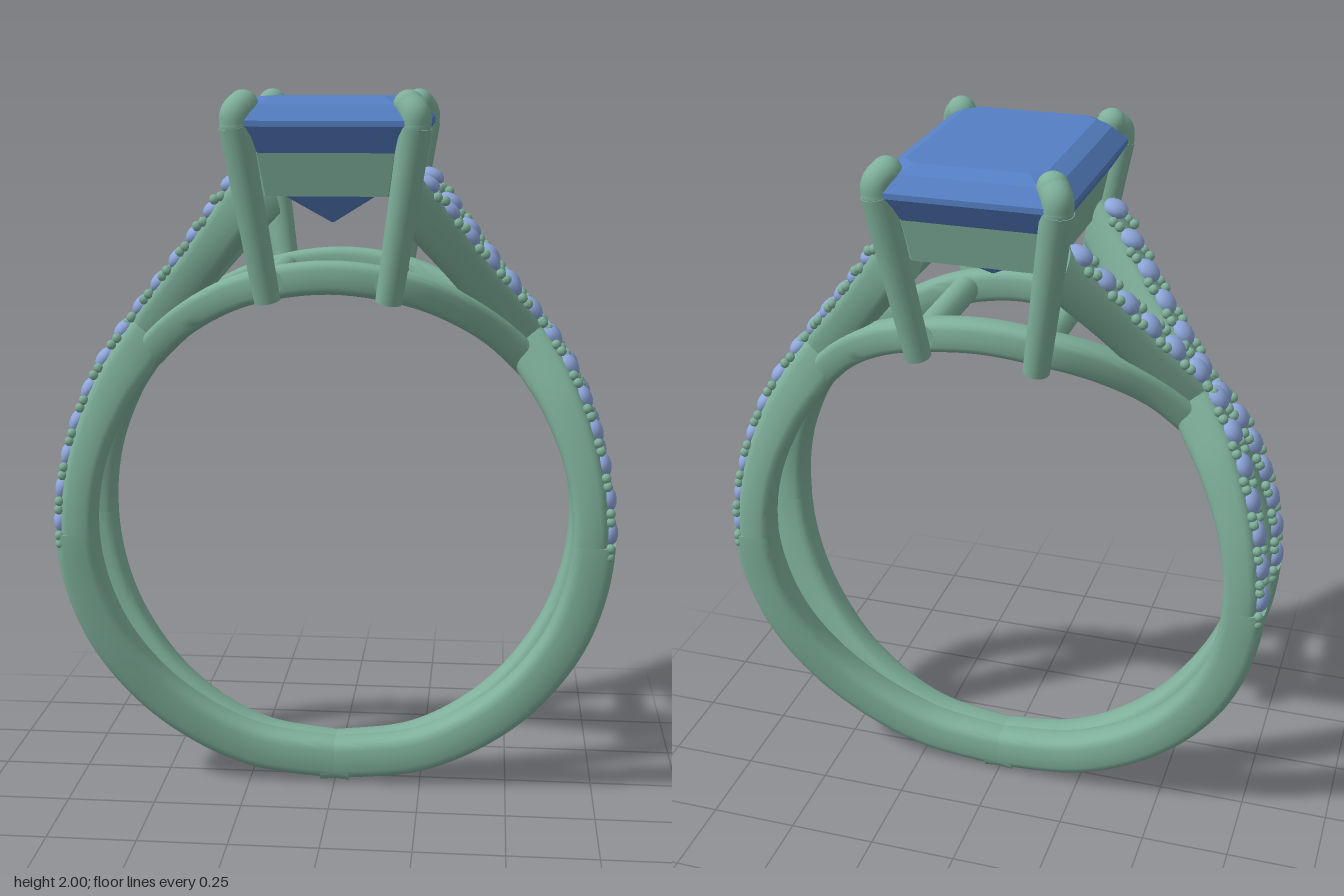
import * as THREE from 'three';
import { toCreasedNormals } from 'three/addons/utils/BufferGeometryUtils.js';

const CY = 0.795, RI = 0.67, RO = 0.79;
const metal = new THREE.MeshStandardMaterial({ color: 0x7fb09b });
const gemMat = new THREE.MeshStandardMaterial({ color: 0x5580c4, flatShading: true });
const paveMat = new THREE.MeshStandardMaterial({ color: 0x8fa8dc });
const V = (x, y, z) => new THREE.Vector3(x, y, z);

function add(parent, name, geo, mat = metal) {
  const m = new THREE.Mesh(geo, mat);
  m.name = name;
  parent.add(m);
  return m;
}

// Skin a series of closed rings; either capped or joined end to start
function loft(rings, joined = false) {
  const n = rings[0].length, pos = [], idx = [];
  rings.forEach(r => r.forEach(p => pos.push(p.x, p.y, p.z)));
  const count = joined ? rings.length : rings.length - 1;
  for (let i = 0; i < count; i++) {
    const i2 = (i + 1) % rings.length;
    for (let j = 0; j < n; j++) {
      const k = (j + 1) % n;
      const a = i * n + j, b = i * n + k, c = i2 * n + k, d = i2 * n + j;
      idx.push(a, b, c, a, c, d);
    }
  }
  if (!joined) {
    const last = (rings.length - 1) * n;
    for (let j = 1; j < n - 1; j++) {
      idx.push(0, j + 1, j, last, last + j, last + j + 1);
    }
  }
  const g = new THREE.BufferGeometry();
  g.setAttribute('position', new THREE.Float32BufferAttribute(pos, 3));
  g.setIndex(idx);
  g.computeVertexNormals();
  return g;
}

// Frame on a band between its outer and inner guide curves
function frameAt(band, t) {
  const o = band.outer.getPoint(t), i = band.inner.getPoint(t);
  const n = o.clone().sub(i).normalize();
  const b = n.clone().cross(band.outer.getTangent(t)).normalize();
  return { o, i, n, b };
}

// Sweep a softly squared section along a band
function sweep(band, t0, t1, halfWidth, recess = 0, steps = 40) {
  const rings = [], soft = v => Math.sign(v) * Math.pow(Math.abs(v), 0.55);
  for (let s = 0; s <= steps; s++) {
    const f = frameAt(band, t0 + (t1 - t0) * s / steps);
    const top = f.o.clone().addScaledVector(f.n, -recess);
    const mid = top.clone().add(f.i).multiplyScalar(0.5), h = top.distanceTo(f.i) / 2;
    rings.push(Array.from({ length: 20 }, (_, k) => {
      const a = k / 20 * Math.PI * 2;
      return mid.clone().addScaledVector(f.b, halfWidth * soft(Math.cos(a)))
        .addScaledVector(f.n, h * soft(Math.sin(a)));
    }));
  }
  return toCreasedNormals(loft(rings), 0.7);
}

// Stations: [outer x, outer y, inner x, inner y, z]
const makeBand = (stations, s) => ({
  outer: new THREE.CatmullRomCurve3(stations.map(p => V(p[0], p[1], s * p[4]))),
  inner: new THREE.CatmullRomCurve3(stations.map(p => V(p[2], p[3], s * p[4]))),
});
const arc = (deg, z, ro = RO) => {
  const a = deg * Math.PI / 180, x = Math.sin(a), y = -Math.cos(a);
  return [ro * x, CY + ro * y, RI * x, CY + RI * y, z];
};

// Rectangle with cut corners at height y
const octagon = ([y, hx, hz, c]) => [
  [c - hx, hz], [hx - c, hz], [hx, hz - c], [hx, c - hz],
  [hx - c, -hz], [c - hx, -hz], [-hx, c - hz], [-hx, hz - c],
].map(([x, z]) => V(x, y, z));

export function createModel() {
  const ring = new THREE.Group();
  ring.name = 'ring';

  // Crossing shank strands with their rows of small stones
  const strand = [
    arc(-3, 0.02), arc(20, 0.032), arc(41, 0.06), arc(60, 0.095), arc(75, 0.115), arc(90, 0.127),
    [0.765, 1.0, 0.647, 0.968, 0.113],
    [0.70, 1.2, 0.58, 1.13, 0.073],
    [0.635, 1.32, 0.52, 1.22, 0.03],
    [0.56, 1.42, 0.455, 1.325, -0.018],
    [0.42, 1.585, 0.325, 1.49, -0.1],
    [0.24, 1.805, 0.19, 1.645, -0.205],
  ];
  const stoneGeo = new THREE.SphereGeometry(0.038, 14, 8).scale(1, 0.65, 1);
  const beadGeo = new THREE.SphereGeometry(0.014, 8, 6);
  const up = V(0, 1, 0), STONES = 13, SPLIT = 0.443;
  for (const turn of [0, Math.PI]) {
    const side = new THREE.Group();
    side.name = turn ? 'rightShoulder' : 'leftShoulder';
    side.rotation.y = turn;
    ring.add(side);
    for (const s of [1, -1]) {
      const band = makeBand(strand, s);
      add(side, 'lowerShank', sweep(band, 0, SPLIT, 0.05));
      add(side, 'stoneSetStrand', sweep(band, SPLIT, 1, 0.05, 0.02));
      // Begin the stones at mid height
      let u0 = 0.4;
      while (band.outer.getPointAt(u0).y < 0.8) u0 += 0.002;
      const du = (0.985 - u0) / (STONES - 1);
      for (let k = 0; k < STONES; k++) {
        const f = frameAt(band, band.outer.getUtoTmapping(u0 + du * k));
        const stone = add(side, 'smallStone', stoneGeo, paveMat);
        stone.position.copy(f.o).addScaledVector(f.n, -0.02);
        stone.quaternion.setFromUnitVectors(up, f.n);
        const g = frameAt(band, band.outer.getUtoTmapping(u0 + du * (k - 0.5)));
        for (const e of [-0.036, 0.036]) {
          for (const shift of [-0.012, 0.012]) {
            const bead = add(side, 'bead', beadGeo);
            bead.position.copy(g.o).addScaledVector(g.n, -0.017).addScaledVector(g.b, e)
              .addScaledVector(g.n.clone().cross(g.b), shift);
          }
        }
      }
    }
  }

  // Arched bridge under the setting, splaying out to the prong feet
  const R2 = 0.76;
  const bridge = [
    arc(130, 0.01, R2), arc(142, 0.06, R2), arc(155, 0.13, R2), arc(166, 0.18, R2), arc(180, 0.195, R2),
    arc(194, 0.18, R2), arc(205, 0.13, R2), arc(218, 0.06, R2), arc(230, 0.01, R2),
  ];
  for (const s of [1, -1]) {
    add(ring, 'bridge', sweep(makeBand(bridge, s), 0, 1, 0.04));
    const bar = add(ring, 'crossBar', new THREE.CylinderGeometry(0.038, 0.038, 0.46, 14));
    bar.rotation.x = Math.PI / 2;
    bar.position.set(s * 0.16, 1.495, 0);
  }

  // Four claw prongs
  for (const sx of [1, -1]) for (const sz of [1, -1]) {
    const p = (x, y, z) => V(sx * x, y, sz * z);
    const foot = p(0.162, 1.45, 0.243), shoulder = p(0.232, 1.91, 0.317);
    const dir = shoulder.clone().sub(foot);
    const prong = new THREE.Group();
    prong.name = 'prong';
    ring.add(prong);
    const shaft = add(prong, 'prongShaft', new THREE.CylinderGeometry(0.043, 0.036, dir.length(), 16));
    shaft.position.copy(foot).addScaledVector(dir, 0.5);
    shaft.quaternion.setFromUnitVectors(up, dir.clone().normalize());
    const claw = new THREE.CatmullRomCurve3([shoulder, p(0.231, 1.94, 0.316), p(0.214, 1.962, 0.295)]);
    add(prong, 'prongClaw', new THREE.TubeGeometry(claw, 8, 0.041, 16));
    for (const end of [shoulder, claw.getPoint(1)]) {
      add(prong, 'prongTip', new THREE.SphereGeometry(0.0415, 16, 10)).position.copy(end);
    }
  }

  // Hollow rail holding the centre stone
  const rail = [
    [1.73, 0.2, 0.275, 0.04], [1.85, 0.22, 0.3, 0.04],
    [1.85, 0.175, 0.255, 0.03], [1.73, 0.155, 0.23, 0.03],
  ];
  add(ring, 'galleryRail', toCreasedNormals(loft(rail.map(octagon), true), 0.3));

  // Step-cut centre stone, from keel up to table
  const gem = [
    [1.65, 0.004, 0.1, 0.002], [1.73, 0.13, 0.2, 0.02], [1.85, 0.225, 0.305, 0.045],
    [1.91, 0.262, 0.348, 0.055], [1.925, 0.262, 0.348, 0.055],
    [1.965, 0.225, 0.312, 0.045], [1.985, 0.185, 0.272, 0.035],
  ];
  add(ring, 'centreStone', loft(gem.map(octagon)), gemMat);

  return ring;
}
